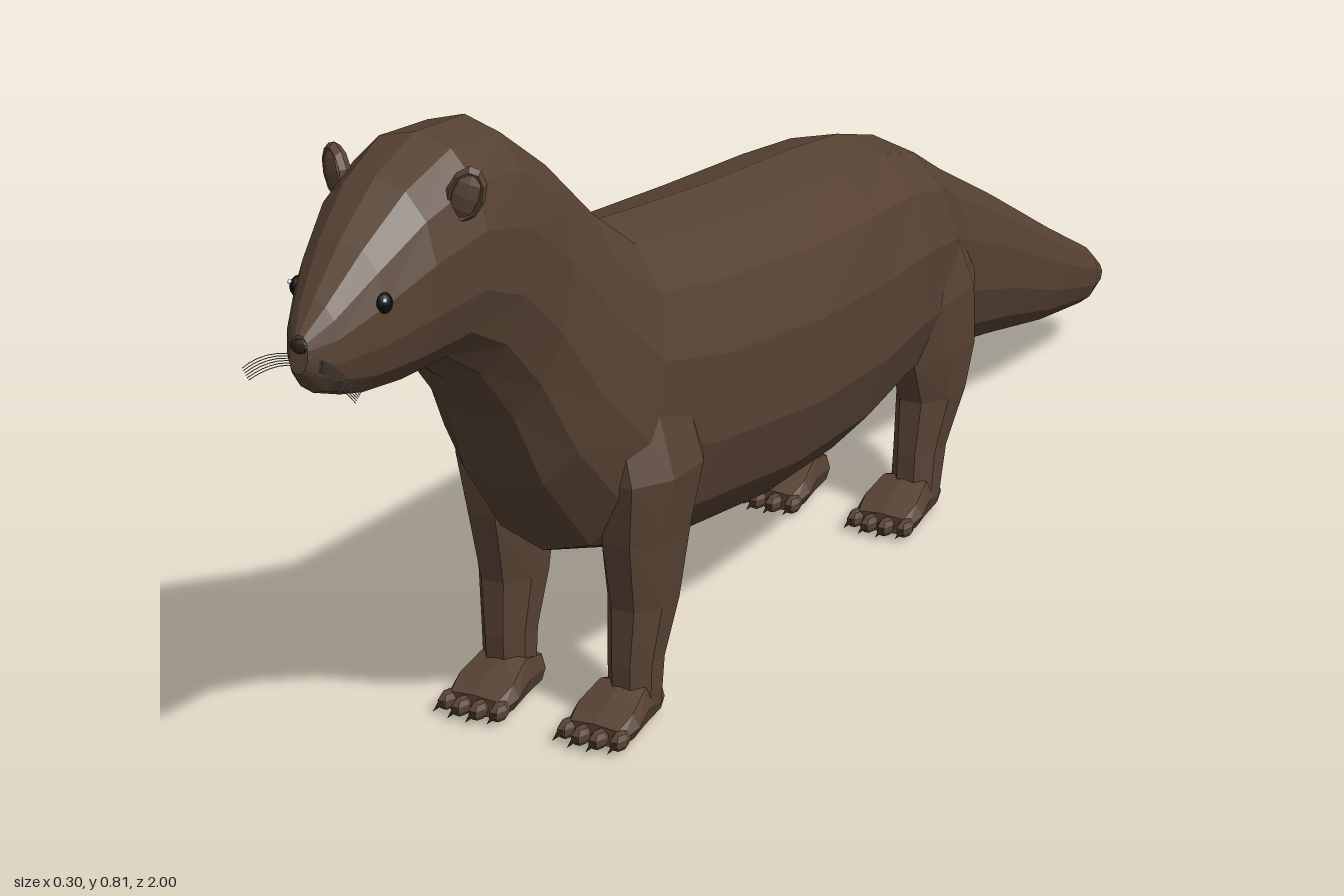
import * as THREE from 'three';

const mat = (name, color, extra = {}) => {
  const m = new THREE.MeshStandardMaterial({ color, ...extra });
  m.name = name;
  return m;
};

// Skin over a list of rings (each an array of [x, y, z]), closed at both ends
function loft(rings) {
  const n = rings[0].length;
  const pos = rings.flat(2);
  const idx = [];
  for (let r = 0; r < rings.length - 1; r++) {
    for (let i = 0; i < n; i++) {
      const j = (i + 1) % n;
      const a = r * n + i, b = r * n + j, c = a + n, d = b + n;
      idx.push(a, b, c, b, d, c);
    }
  }
  [0, rings.length - 1].forEach((r, end) => {
    const centre = pos.length / 3;
    for (let k = 0; k < 3; k++) pos.push(rings[r].reduce((s, p) => s + p[k], 0) / n);
    for (let i = 0; i < n; i++) {
      const a = r * n + i, b = r * n + (i + 1) % n;
      if (end) idx.push(centre, a, b);
      else idx.push(centre, b, a);
    }
  });
  const g = new THREE.BufferGeometry();
  g.setAttribute('position', new THREE.Float32BufferAttribute(pos, 3));
  g.setIndex(idx);
  g.computeVertexNormals();
  return g;
}

const soft = (v, e) => Math.sign(v) * Math.pow(Math.abs(v), e);

// Upright ring between a top and a bottom point on the centre plane
function section([topZ, topY, botZ, botY, w], sides, e = 0.9, cx = 0) {
  return Array.from({ length: sides }, (_, i) => {
    const a = (i / sides) * Math.PI * 2;
    const t = (1 - soft(Math.cos(a), e)) / 2;
    return [cx + w * soft(Math.sin(a), e), topY + (botY - topY) * t, topZ + (botZ - topZ) * t];
  });
}

// Level ring for a leg
function legRing([x, y, z, rx, rz], side) {
  return Array.from({ length: 8 }, (_, i) => {
    const a = ((i + 0.5) / 8) * Math.PI * 2;
    return [side * x + rx * 1.06 * Math.sin(a), y, z - rz * 1.06 * Math.cos(a)];
  });
}

// Nose to tail tip: top z, top y, bottom z, bottom y, half width
const BODY = [
  [0.992, 0.648, 0.998, 0.605, 0.012],
  [0.965, 0.678, 0.97, 0.575, 0.034],
  [0.91, 0.73, 0.92, 0.556, 0.06],
  [0.84, 0.78, 0.86, 0.55, 0.083],
  [0.76, 0.808, 0.78, 0.55, 0.098],
  [0.66, 0.8, 0.715, 0.505, 0.1],
  [0.565, 0.735, 0.65, 0.43, 0.101],
  [0.47, 0.65, 0.6, 0.33, 0.113],
  [0.39, 0.593, 0.51, 0.22, 0.13],
  [0.28, 0.578, 0.37, 0.172, 0.142],
  [0.1, 0.557, 0.1, 0.14, 0.153],
  [-0.1, 0.54, -0.08, 0.137, 0.148],
  [-0.22, 0.525, -0.2, 0.16, 0.141],
  [-0.32, 0.495, -0.32, 0.165, 0.128],
  [-0.42, 0.44, -0.42, 0.16, 0.096],
  [-0.6, 0.345, -0.6, 0.125, 0.075],
  [-0.8, 0.232, -0.78, 0.088, 0.06],
  [-0.95, 0.152, -0.93, 0.066, 0.042],
  [-0.998, 0.115, -0.985, 0.074, 0.026],
];

// Legs, top to ankle: x, y, z, half width, half depth
const LEGS = {
  front: {
    rings: [
      [0.075, 0.42, 0.42, 0.045, 0.08],
      [0.1, 0.32, 0.425, 0.05, 0.085],
      [0.092, 0.24, 0.43, 0.046, 0.07],
      [0.09, 0.15, 0.432, 0.038, 0.05],
      [0.088, 0.08, 0.447, 0.031, 0.037],
      [0.087, 0.02, 0.45, 0.03, 0.031],
    ],
    heel: 0.42,
  },
  hind: {
    rings: [
      [0.07, 0.4, -0.29, 0.045, 0.08],
      [0.088, 0.3, -0.31, 0.048, 0.1],
      [0.09, 0.22, -0.32, 0.045, 0.088],
      [0.09, 0.16, -0.318, 0.039, 0.06],
      [0.088, 0.09, -0.292, 0.031, 0.04],
      [0.087, 0.02, -0.28, 0.03, 0.031],
    ],
    heel: -0.31,
  },
};

export function createModel() {
  const fur = mat('brown fur', 0x574233, { flatShading: true });
  const dark = mat('dark claw', 0x2b211b, { flatShading: true });
  const black = mat('black eye', 0x0d0c0c);
  const white = mat('eye glint', 0xe8e8e8);
  const grey = mat('grey whisker', 0x8a8682);

  const model = new THREE.Group();
  model.name = 'otter';
  const add = (name, geometry, material, parent = model) => {
    const m = new THREE.Mesh(geometry, material);
    m.name = name;
    parent.add(m);
    return m;
  };

  add('body', loft(BODY.map((s) => section(s, 14))), fur);

  const nose = add('nose', new THREE.SphereGeometry(0.012, 8, 6), dark);
  nose.scale.set(1.1, 0.8, 0.7);
  nose.position.set(0, 0.635, 0.99);

  for (const side of [1, -1]) {
    const label = side > 0 ? 'left' : 'right';

    // Legs with feet, toes and claws
    for (const [kind, { rings, heel }] of Object.entries(LEGS)) {
      const leg = new THREE.Group();
      leg.name = `${label} ${kind} leg`;
      model.add(leg);
      add('leg', loft(rings.map((r) => legRing(r, side))), fur, leg);

      const cx = side * 0.083;
      const foot = [
        [0.118, 0.026, 0.118, 0, 0.04],
        [0.09, 0.04, 0.09, 0, 0.046],
        [0.05, 0.057, 0.05, 0, 0.038],
        [0, 0.042, 0, 0, 0.028],
      ].map(([z, top, z2, bottom, w]) => section([heel + z, top, heel + z2, bottom, w], 8, 0.6, cx));
      add('foot', loft(foot), fur, leg);

      for (let i = 0; i < 4; i++) {
        const k = i - 1.5;
        const reach = Math.abs(k) < 1 ? 0.008 : 0;
        const toe = add('toe', new THREE.SphereGeometry(0.012, 6, 5), fur, leg);
        toe.scale.set(0.9, 1, 1.6);
        toe.position.set(cx + k * 0.024, 0.013, heel + 0.118 + reach);
        const claw = add('claw', new THREE.ConeGeometry(0.006, 0.026, 5), dark, leg);
        claw.rotation.x = Math.PI / 2 + 0.2;
        claw.position.set(cx + k * 0.025, 0.012, heel + 0.138 + reach);
      }
    }

    // Rounded ear with a raised rim
    const ear = new THREE.Group();
    ear.name = `${label} ear`;
    ear.position.set(side * 0.083, 0.758, 0.79);
    ear.rotation.set(0, side * 0.45, side * -0.35);
    model.add(ear);
    add('ear shell', new THREE.SphereGeometry(0.024, 8, 6), fur, ear).scale.set(0.85, 1.3, 0.5);
    add('ear rim', new THREE.TorusGeometry(0.02, 0.006, 5, 10), fur, ear).scale.set(0.85, 1.3, 1.3);

    // Eye with a small glint
    const eye = add(`${label} eye`, new THREE.SphereGeometry(0.011, 10, 8), black);
    eye.scale.set(0.8, 1.1, 1);
    eye.position.set(side * 0.055, 0.668, 0.912);
    const glint = add(`${label} eye glint`, new THREE.SphereGeometry(0.0028, 6, 5), white);
    glint.position.set(side * 0.061, 0.674, 0.919);

    // Fan of whiskers drooping outwards
    for (let i = 0; i < 6; i++) {
      const d = i * 0.0025;
      const path = new THREE.QuadraticBezierCurve3(
        new THREE.Vector3(side * 0.01, 0.62 - d, 0.982),
        new THREE.Vector3(side * (0.045 - d), 0.624 - d, 0.99),
        new THREE.Vector3(side * (0.076 - d * 0.6), 0.596 - d, 0.991)
      );
      add(`${label} whisker`, new THREE.TubeGeometry(path, 6, 0.0006, 3), grey);
    }
  }
  return model;
}
